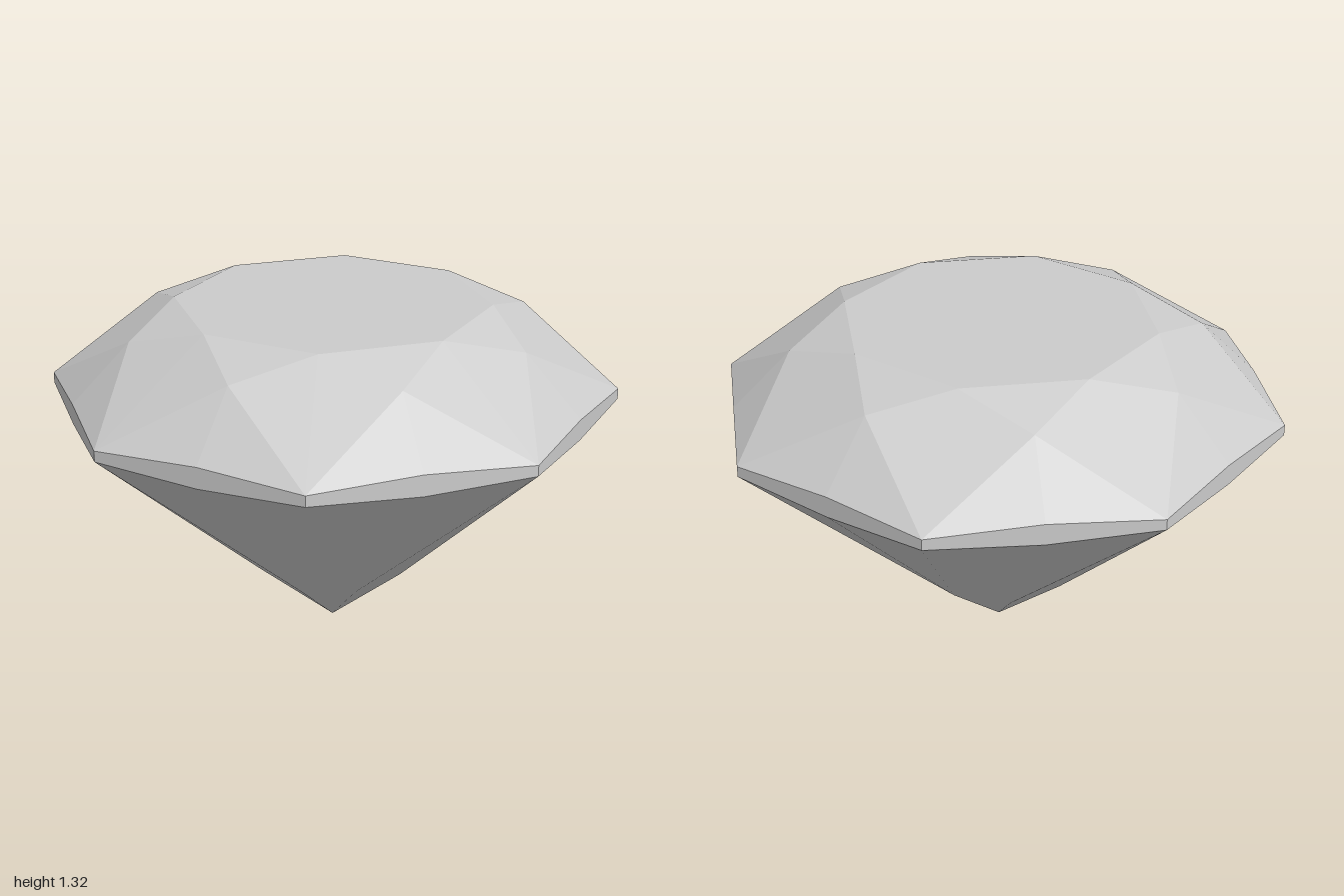
import * as THREE from 'three';

const SIDES = 8;
const STEP = (Math.PI * 2) / SIDES;

// Eight points at one height; offset 0 = middle of a side, 0.5 = corner.
function ring(radius, y, offset) {
  return (i) => {
    const a = (i + offset) * STEP;
    return [radius * Math.sin(a), y, radius * Math.cos(a)];
  };
}

// Repeats a sector's triangles all the way round the stone.
function facets(name, material, sector) {
  const positions = [];
  for (let i = 0; i < SIDES; i++) {
    for (const triangle of sector(i)) positions.push(...triangle.flat());
  }
  const geometry = new THREE.BufferGeometry();
  geometry.setAttribute('position', new THREE.Float32BufferAttribute(positions, 3));
  geometry.computeVertexNormals();
  const mesh = new THREE.Mesh(geometry, material);
  mesh.name = name;
  return mesh;
}

export function createModel() {
  const stone = new THREE.MeshStandardMaterial({ color: 0xcccccc, flatShading: true });
  stone.name = 'pale grey stone';

  const corner = 1 / Math.cos(STEP / 2);
  const table = ring(0.601, 1.322, 0.5);
  const crown = ring(0.78, 1.242, 0);
  const topCorner = ring(corner, 1.003, 0.5);
  const topMiddle = ring(1, 1.023, 0);
  const lowCorner = ring(corner, 0.962, 0.5);
  const lowMiddle = ring(1, 0.943, 0);
  const pavilion = ring(0.295, 0.242, 0);
  const centre = [0, 1.322, 0];
  const culet = [0, 0, 0];

  const gem = new THREE.Group();
  gem.name = 'cutGem';
  gem.add(
    // Crown
    facets('table', stone, (i) => [[centre, table(i - 1), table(i)]]),
    facets('starFacets', stone, (i) => [[crown(i), table(i), table(i - 1)]]),
    facets('kiteFacets', stone, (i) => [
      [topCorner(i), table(i), crown(i)],
      [topCorner(i), crown(i + 1), table(i)],
    ]),
    facets('upperGirdleFacets', stone, (i) => [
      [topCorner(i - 1), topMiddle(i), crown(i)],
      [topMiddle(i), topCorner(i), crown(i)],
    ]),
    // Thin band at the widest point
    facets('girdle', stone, (i) => [
      [lowCorner(i - 1), lowMiddle(i), topMiddle(i)],
      [lowCorner(i - 1), topMiddle(i), topCorner(i - 1)],
      [lowMiddle(i), lowCorner(i), topCorner(i)],
      [lowMiddle(i), topCorner(i), topMiddle(i)],
    ]),
    // Pavilion
    facets('lowerGirdleFacets', stone, (i) => [
      [pavilion(i), lowMiddle(i), lowCorner(i - 1)],
      [pavilion(i), lowCorner(i), lowMiddle(i)],
    ]),
    facets('pavilionMainFacets', stone, (i) => [
      [culet, lowCorner(i), pavilion(i)],
      [culet, pavilion(i + 1), lowCorner(i)],
    ]),
  );
  return gem;
}
